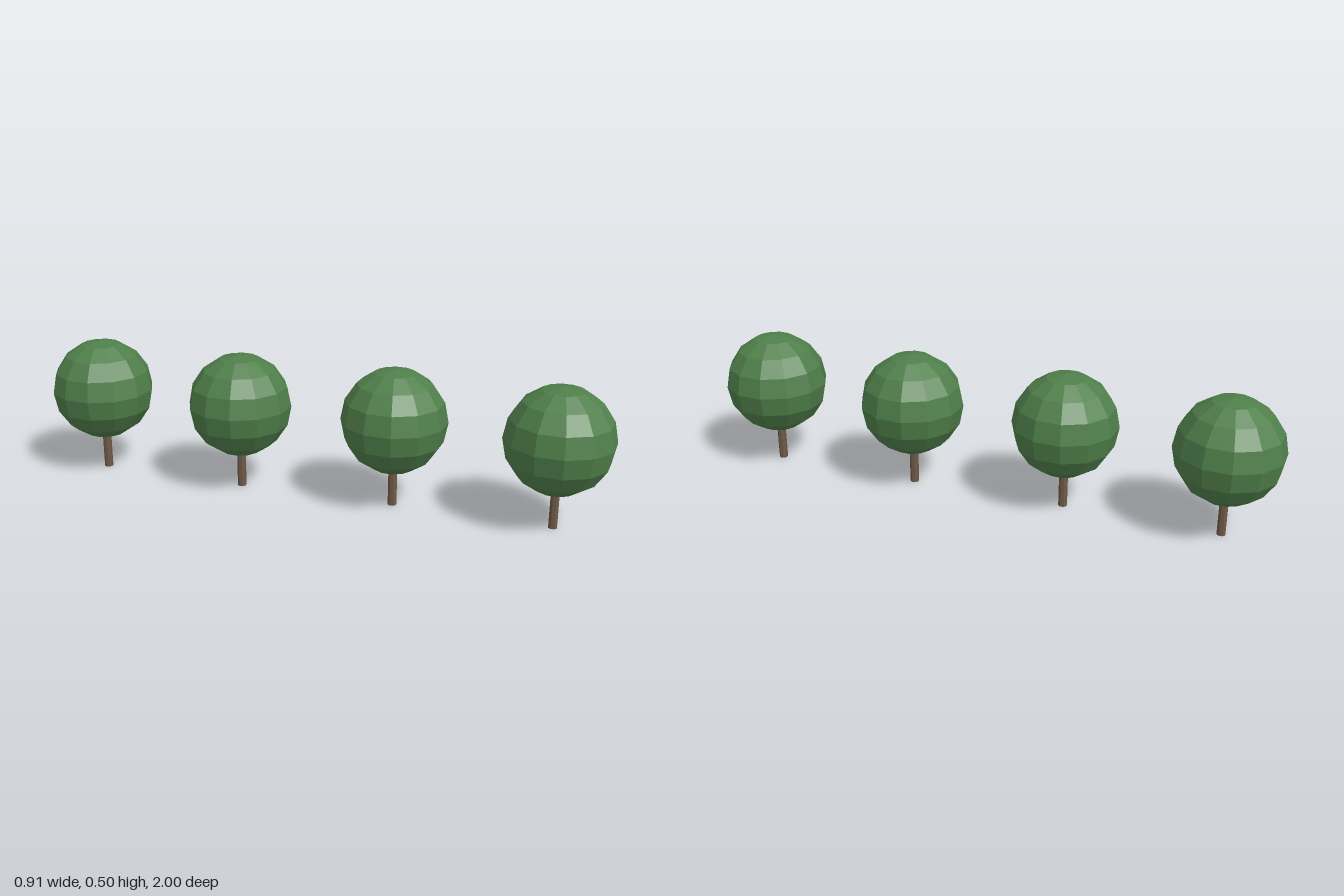
import * as THREE from 'three';

export function createModel() {
  const model = new THREE.Group();
  model.name = 'treeRow';

  const leafGreen = new THREE.MeshStandardMaterial({ color: 0x4f7f4a });
  leafGreen.name = 'leaf green';
  leafGreen.flatShading = true;
  const barkBrown = new THREE.MeshStandardMaterial({ color: 0x6e5a46 });
  barkBrown.name = 'bark brown';
  barkBrown.flatShading = true;

  // Shared shapes: faceted round crown and slim trunk
  const crownRadius = 0.188;
  const crownY = 0.317;
  const trunkHeight = 0.15;
  const crownGeometry = new THREE.SphereGeometry(crownRadius, 12, 8);
  const trunkGeometry = new THREE.CylinderGeometry(0.016, 0.016, trunkHeight, 8);

  // Diagonal row of four trees, back to front: [x, z]
  const spots = [[-0.267, -0.812], [-0.097, -0.272], [0.095, 0.27], [0.265, 0.812]];
  spots.forEach(([x, z], i) => {
    const tree = new THREE.Group();
    tree.name = `tree${i + 1}`;
    tree.position.set(x, 0, z);

    const trunk = new THREE.Mesh(trunkGeometry, barkBrown);
    trunk.name = 'trunk';
    trunk.position.y = trunkHeight / 2;

    const crown = new THREE.Mesh(crownGeometry, leafGreen);
    crown.name = 'crown';
    crown.position.y = crownY;

    tree.add(trunk, crown);
    model.add(tree);
  });

  return model;
}
